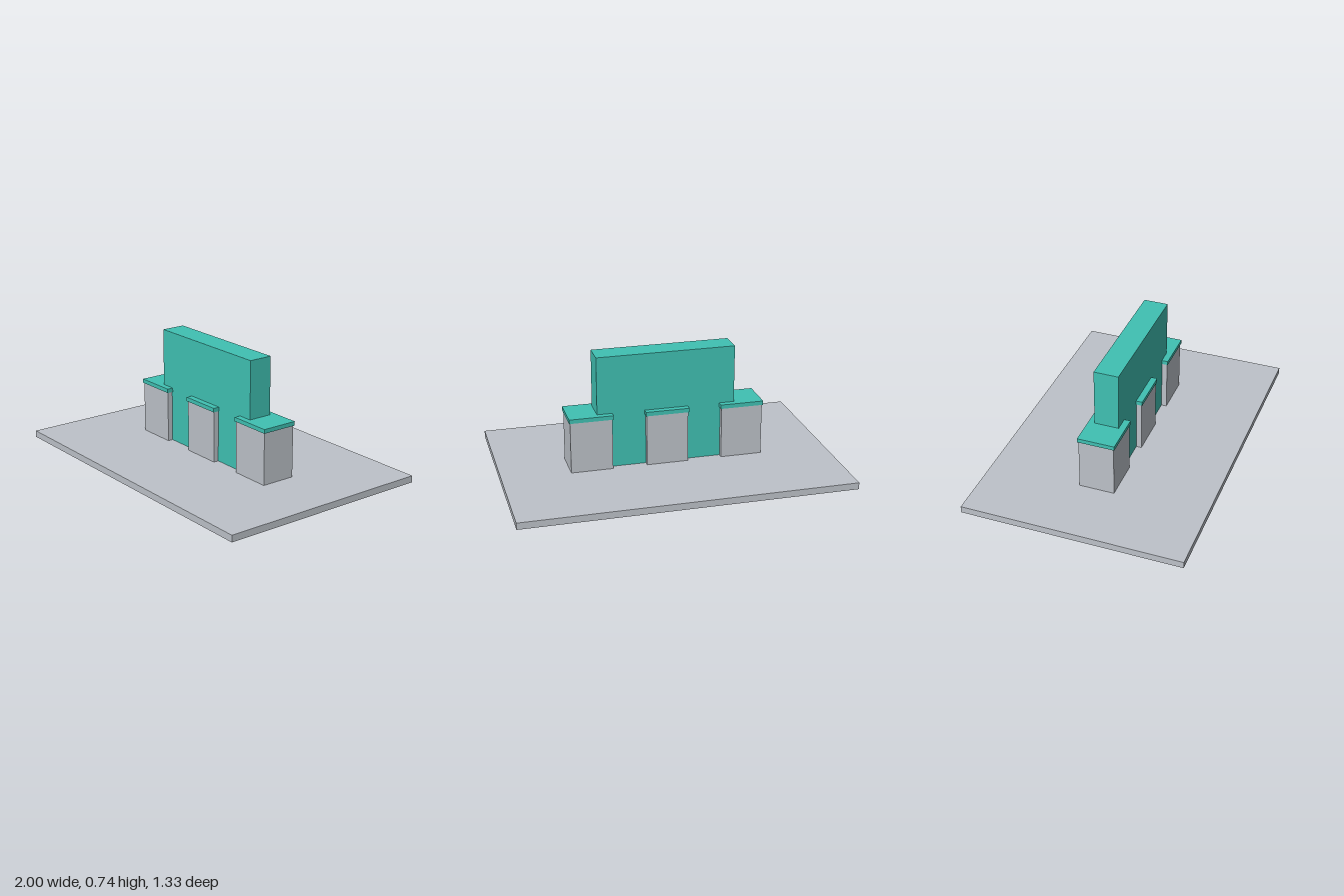
import * as THREE from 'three';

export function createModel() {
  const model = new THREE.Group();
  const grey = new THREE.MeshStandardMaterial({ color: 0xbdc2c9 });
  grey.name = 'stone grey';
  const teal = new THREE.MeshStandardMaterial({ color: 0x40c1b3 });
  teal.name = 'teal';

  // Box spanning y0..y1, centred on x and on z = 0
  function block(name, material, x, width, y0, y1, depth) {
    const mesh = new THREE.Mesh(new THREE.BoxGeometry(width, y1 - y0, depth), material);
    mesh.name = name;
    mesh.position.set(x, (y0 + y1) / 2, 0);
    model.add(mesh);
  }

  // Ground slab, with the wall passing through to its underside
  block('baseSlab', grey, 0, 2, 0.001, 0.042, 1.333);
  block('wall', teal, 0, 0.84, 0, 0.735, 0.148);

  // Three capped piers
  [['right', -0.461], ['middle', 0], ['left', 0.461]].forEach(([side, x]) => {
    block(side + 'Pier', grey, x, 0.253, 0.042, 0.357, 0.213);
    block(side + 'Cap', teal, x, 0.265, 0.357, 0.382, 0.225);
  });

  return model;
}
